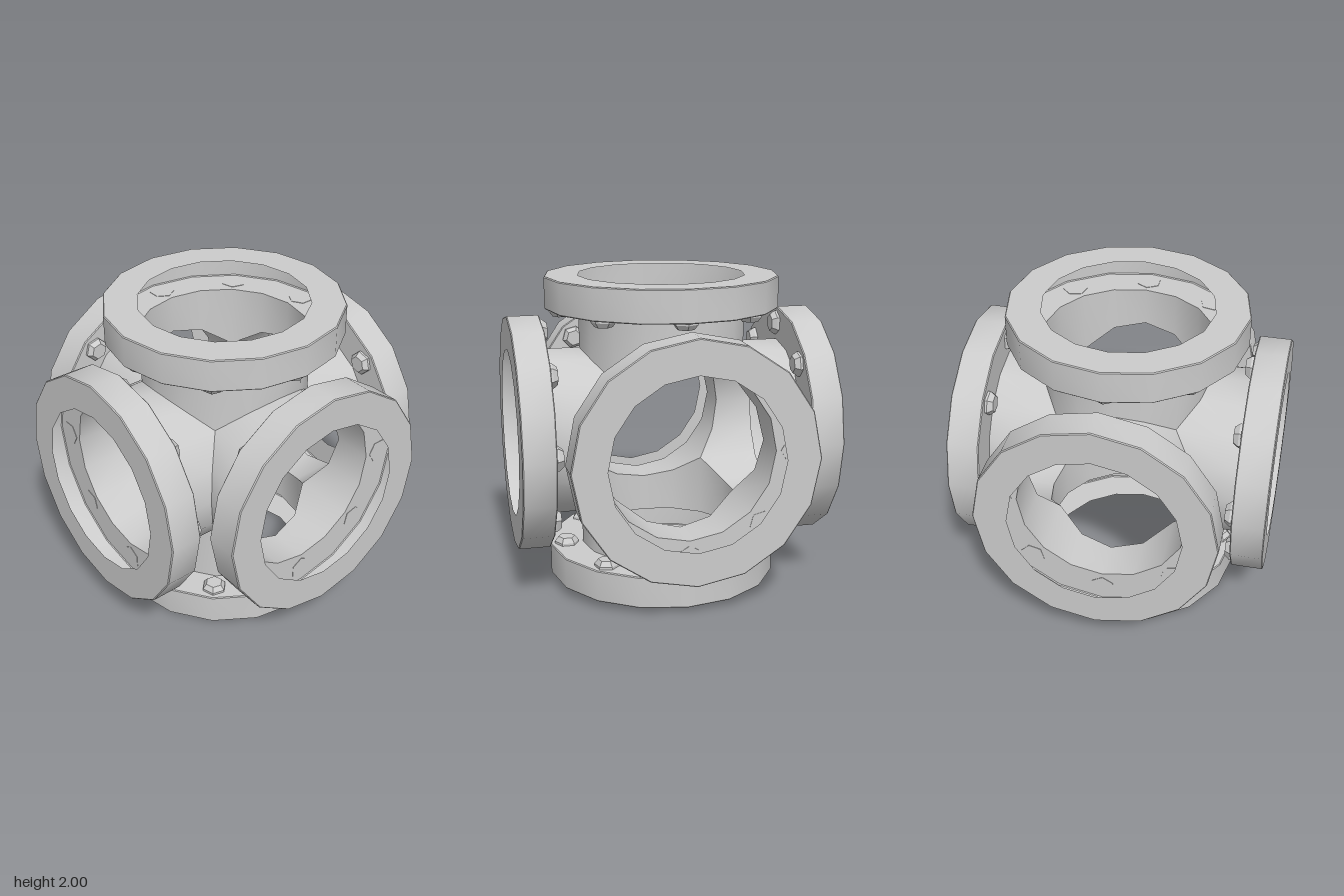
import * as THREE from 'three';
import { toCreasedNormals } from 'three/addons/utils/BufferGeometryUtils.js';

const SIDES = 16, PIPE_R = 0.54, FLANGE_R = 0.757, FLANGE_BACK = 0.793, BOLT_CIRCLE = 0.65;

const material = new THREE.MeshStandardMaterial({ color: 0xcccccc, side: THREE.DoubleSide });
const boltMaterial = new THREE.MeshStandardMaterial({ color: 0xcccccc, side: THREE.DoubleSide, flatShading: true });

function mesh(name, geometry, mat = material) {
  const m = new THREE.Mesh(geometry, mat);
  m.name = name;
  return m;
}

function lathe(points, sides) {
  return new THREE.LatheGeometry(points.map(([r, y]) => new THREE.Vector2(r, y)), sides);
}

// Open pipe whose inner end is mitred against the four neighbouring pipes
function pipeGeometry() {
  const g = new THREE.CylinderGeometry(PIPE_R, PIPE_R, 1, SIDES, 1, true);
  const p = g.attributes.position;
  for (let i = 0; i < p.count; i++) {
    const mitre = Math.max(Math.abs(p.getX(i)), Math.abs(p.getZ(i)));
    p.setY(i, p.getY(i) > 0 ? FLANGE_BACK : mitre);
  }
  return toCreasedNormals(g, 0.6);
}

// Hollow flange shell: back ring, rim and front ring, open towards the bore
function flangeGeometry() {
  const b = 0.006;
  return toCreasedNormals(lathe([
    [PIPE_R, FLANGE_BACK], [FLANGE_R - b, FLANGE_BACK], [FLANGE_R, FLANGE_BACK + b],
    [FLANGE_R, 1 - b], [FLANGE_R - b, 1], [PIPE_R, 1],
  ], SIDES), 0.6);
}

// Six-sided bolt head, tapered towards its free end
function boltGeometry() {
  return lathe([[0, -0.047], [0.055, -0.047], [0.08, -0.015], [0.08, 0.003], [0, 0.003]], 6);
}

export function createModel() {
  const model = new THREE.Group();
  model.name = 'sixWayPipeJunction';
  const pipe = pipeGeometry(), flange = flangeGeometry(), bolt = boltGeometry();

  // One arm per direction, built along +y and turned into place
  const h = Math.PI / 2;
  const arms = {
    top: [0, 0], bottom: [Math.PI, 0], front: [h, 0],
    back: [-h, 0], left: [0, -h], right: [0, h],
  };
  for (const [side, [rx, rz]] of Object.entries(arms)) {
    const arm = new THREE.Group();
    arm.name = side + 'Arm';
    arm.add(mesh('pipe', pipe), mesh('flange', flange));

    // Ring of bolt heads behind the flange
    for (let i = 0; i < 8; i++) {
      const a = (i * Math.PI) / 4;
      const head = mesh('bolt', bolt, boltMaterial);
      head.position.set(Math.sin(a) * BOLT_CIRCLE, FLANGE_BACK, Math.cos(a) * BOLT_CIRCLE);
      head.rotation.y = a;
      arm.add(head);
    }
    arm.rotation.set(rx, 0, rz);
    arm.position.y = 1;
    model.add(arm);
  }
  return model;
}
